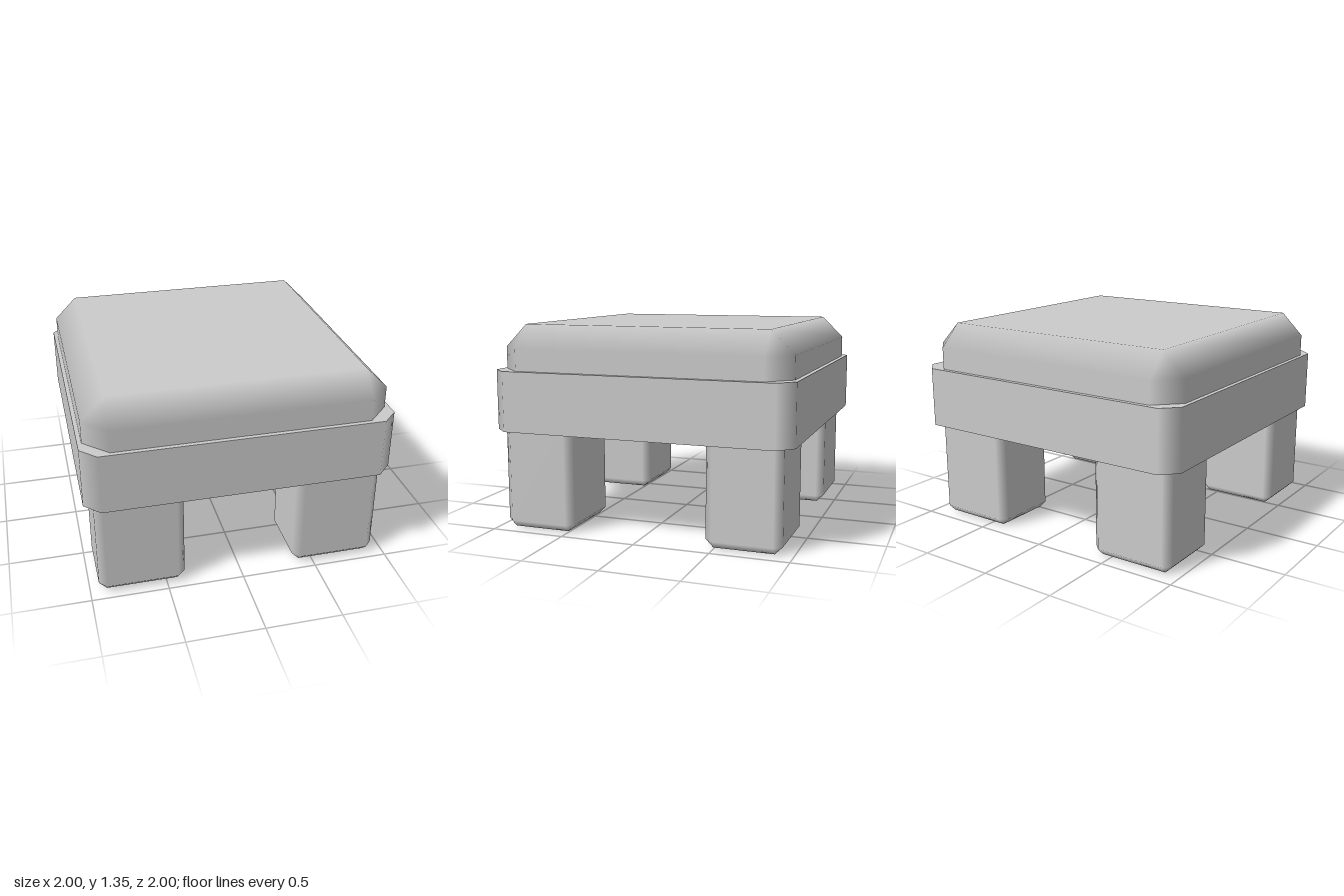
import * as THREE from 'three';
import { ConvexGeometry } from 'three/addons/geometries/ConvexGeometry.js';

const material = new THREE.MeshStandardMaterial({ color: 0xcccccc });
const signs = [-1, 1];

// Box with one-step bevels whose shading blends between the flat faces.
// With capped = true only the upright edges are bevelled.
function bevelledBox(w, h, d, bevel, capped = false) {
  const half = [w / 2, h / 2, d / 2];
  const faceAxes = capped ? [0, 2] : [0, 1, 2];
  const points = [];
  for (const sx of signs) for (const sy of signs) for (const sz of signs) {
    for (const axis of faceAxes) {
      const c = half.map((v, i) => (i === axis || (capped && i === 1) ? v : v - bevel));
      points.push(new THREE.Vector3(sx * c[0], sy * c[1], sz * c[2]));
    }
  }
  const geometry = new ConvexGeometry(points);
  const pos = geometry.attributes.position;
  const normal = geometry.attributes.normal;
  // Each corner takes the normal of the flat face it borders; caps stay sharp.
  for (let i = 0; i < pos.count; i++) {
    if (Math.abs(normal.getY(i)) > 0.9) continue;
    const p = [pos.getX(i), pos.getY(i), pos.getZ(i)];
    const axis = faceAxes.find((a) => Math.abs(Math.abs(p[a]) - half[a]) < 1e-4);
    const n = [0, 0, 0];
    n[axis] = Math.sign(p[axis]);
    normal.setXYZ(i, ...n);
  }
  return geometry;
}

function addPart(group, name, geometry, x, y, z) {
  const mesh = new THREE.Mesh(geometry, material);
  mesh.name = name;
  mesh.position.set(x, y, z);
  group.add(mesh);
}

export function createModel() {
  const stool = new THREE.Group();
  stool.name = 'stool';

  // Cushion, its lower part sunk into the frame
  addPart(stool, 'cushion', bevelledBox(1.94, 0.5, 1.94, 0.15), -0.003, 1.1, 0);

  // Frame under the cushion
  addPart(stool, 'seatFrame', bevelledBox(2, 0.395, 2, 0.1, true), 0, 0.8575, 0);

  // Four block legs, their tops sunk into the frame
  const leg = bevelledBox(0.565, 0.76, 0.49, 0.05);
  for (const sx of signs) for (const sz of signs) {
    const name = (sz > 0 ? 'front' : 'back') + (sx > 0 ? 'Left' : 'Right') + 'Leg';
    addPart(stool, name, leg, sx * 0.653 - 0.005, 0.38, sz * 0.695 + 0.01);
  }
  return stool;
}
